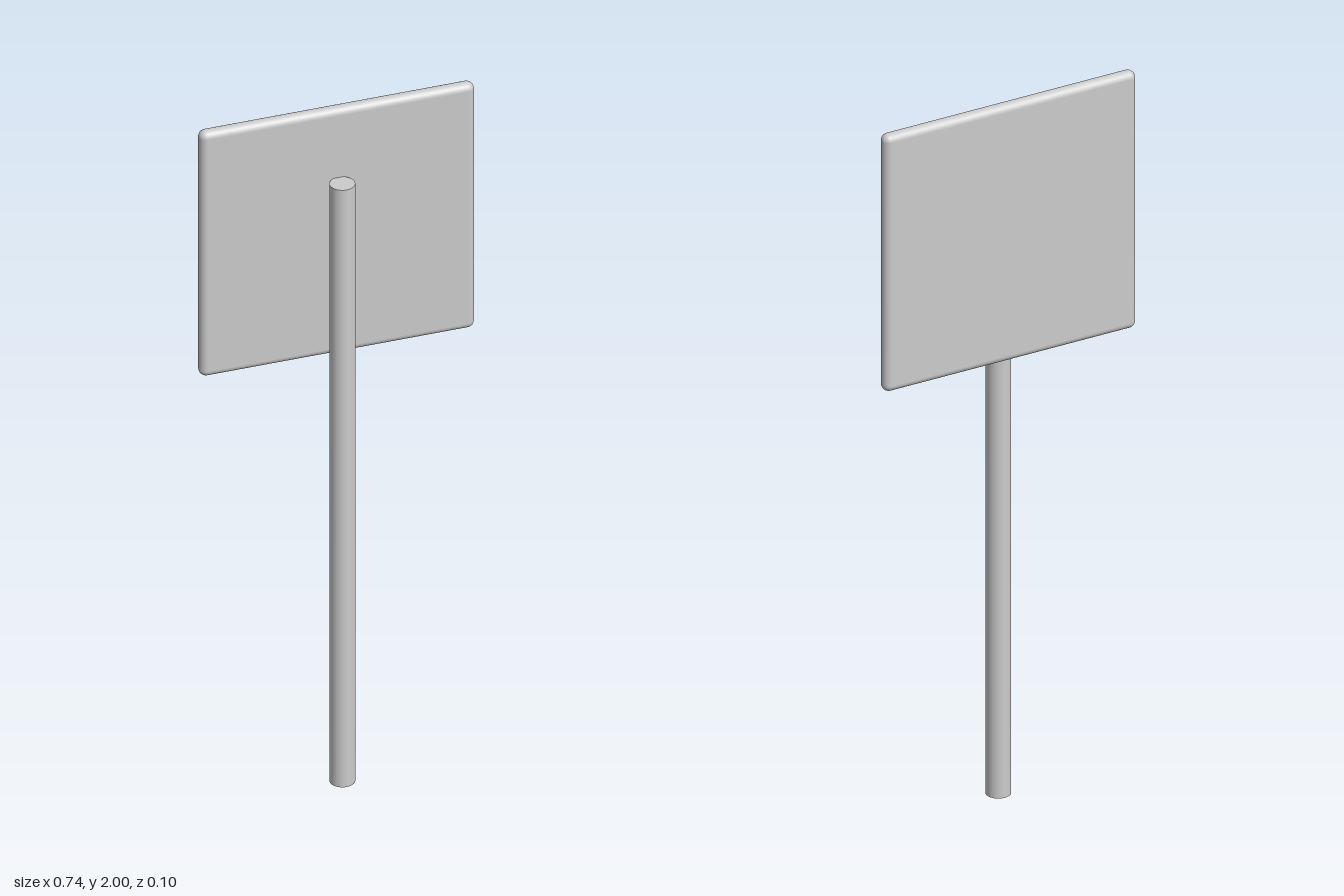
import * as THREE from 'three';
import { RoundedBoxGeometry } from 'three/addons/geometries/RoundedBoxGeometry.js';

const PANEL = { width: 0.74, bottom: 1.265, top: 2, depth: 0.039, z: -0.0325 };
const POLE = { radius: 0.033, height: 1.796, z: 0.017 };

export function createModel() {
  const group = new THREE.Group();
  group.name = 'signpost';
  const material = new THREE.MeshStandardMaterial({ color: 0xcccccc });

  // Square board with fully rounded edges
  const height = PANEL.top - PANEL.bottom;
  const panel = new THREE.Mesh(
    new RoundedBoxGeometry(PANEL.width, height, PANEL.depth, 4, PANEL.depth / 2),
    material
  );
  panel.name = 'signPanel';
  panel.position.set(0, PANEL.bottom + height / 2, PANEL.z);
  group.add(panel);

  // Round pole, set slightly into the board
  const pole = new THREE.Mesh(
    new THREE.CylinderGeometry(POLE.radius, POLE.radius, POLE.height, 32),
    material
  );
  pole.name = 'pole';
  pole.position.set(0, POLE.height / 2, POLE.z);
  group.add(pole);

  return group;
}
